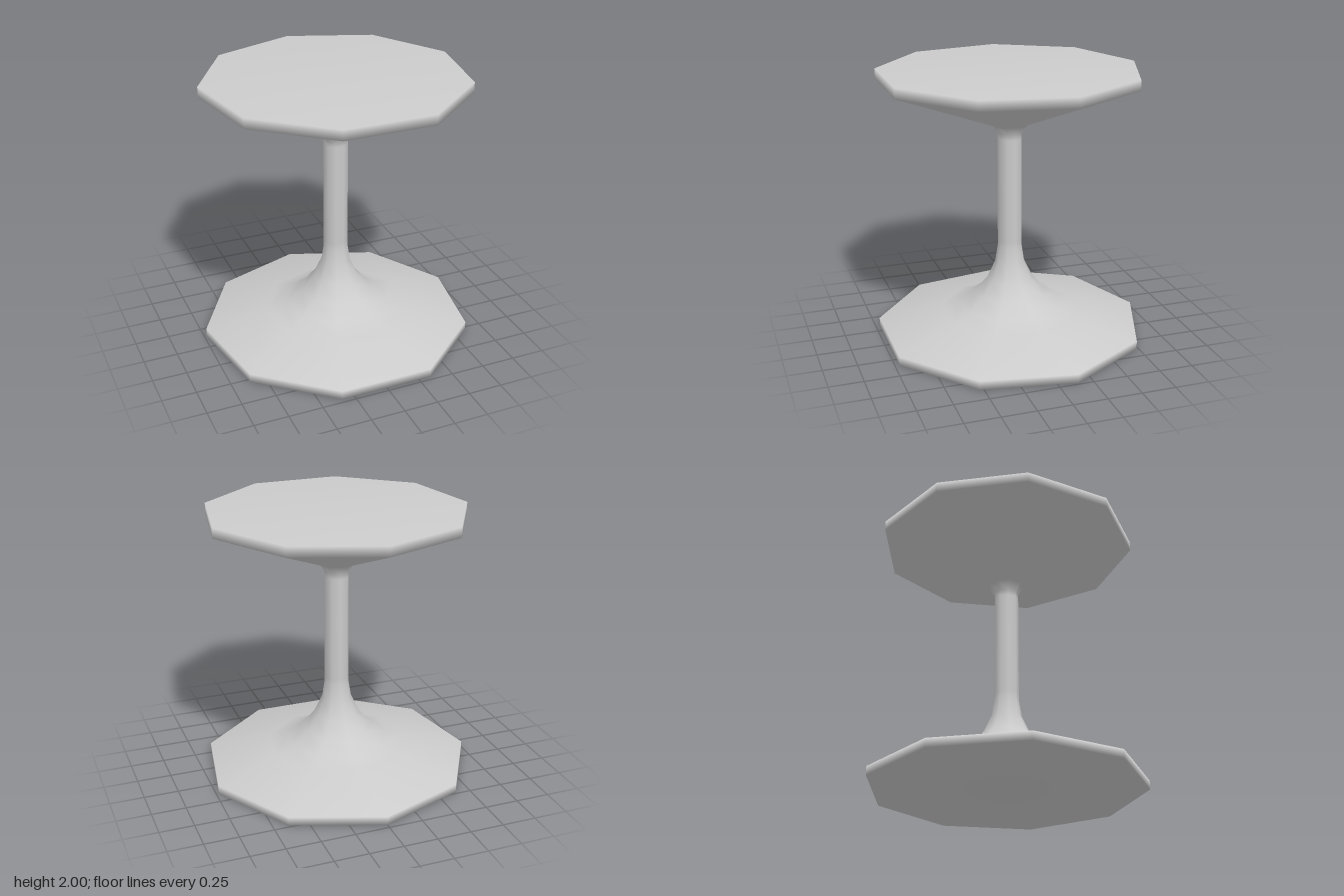
import * as THREE from 'three';

const SIDES = 9;
const COLUMN_RADIUS = 0.09;
const JOINT_LOW = 0.72;
const JOINT_HIGH = 1.5;

// Nine-sided turned part with one corner pointing to the back
function turned(name, profile, material) {
  const points = profile.map(([r, y]) => new THREE.Vector2(r, y));
  const mesh = new THREE.Mesh(new THREE.LatheGeometry(points, SIDES, Math.PI), material);
  mesh.name = name;
  return mesh;
}

export function createModel() {
  const group = new THREE.Group();
  group.name = 'pedestalTable';
  const material = new THREE.MeshStandardMaterial({ color: 0xcccccc });

  // Flat foot flaring up into the column
  group.add(turned('base', [
    [0, 0], [0.9975, 0], [0.9975, 0.065], [0.52, 0.178], [0.385, 0.225],
    [0.262, 0.31], [0.17, 0.42], [0.11, 0.55], [COLUMN_RADIUS, 0.68],
    [COLUMN_RADIUS, JOINT_LOW],
  ], material));

  // Straight stem; the joints lie inside its straight run
  group.add(turned('column', [
    [COLUMN_RADIUS, JOINT_LOW], [COLUMN_RADIUS, JOINT_HIGH],
  ], material));

  // Conical underside, thin rim and flat top
  group.add(turned('top', [
    [COLUMN_RADIUS, JOINT_HIGH], [COLUMN_RADIUS, 1.545], [0.135, 1.605],
    [0.955, 1.925], [0.955, 2], [0, 2],
  ], material));

  // A nine-sided outline is deeper behind its axis than in front
  group.children.forEach((part) => { part.position.z = 0.03; });
  return group;
}
